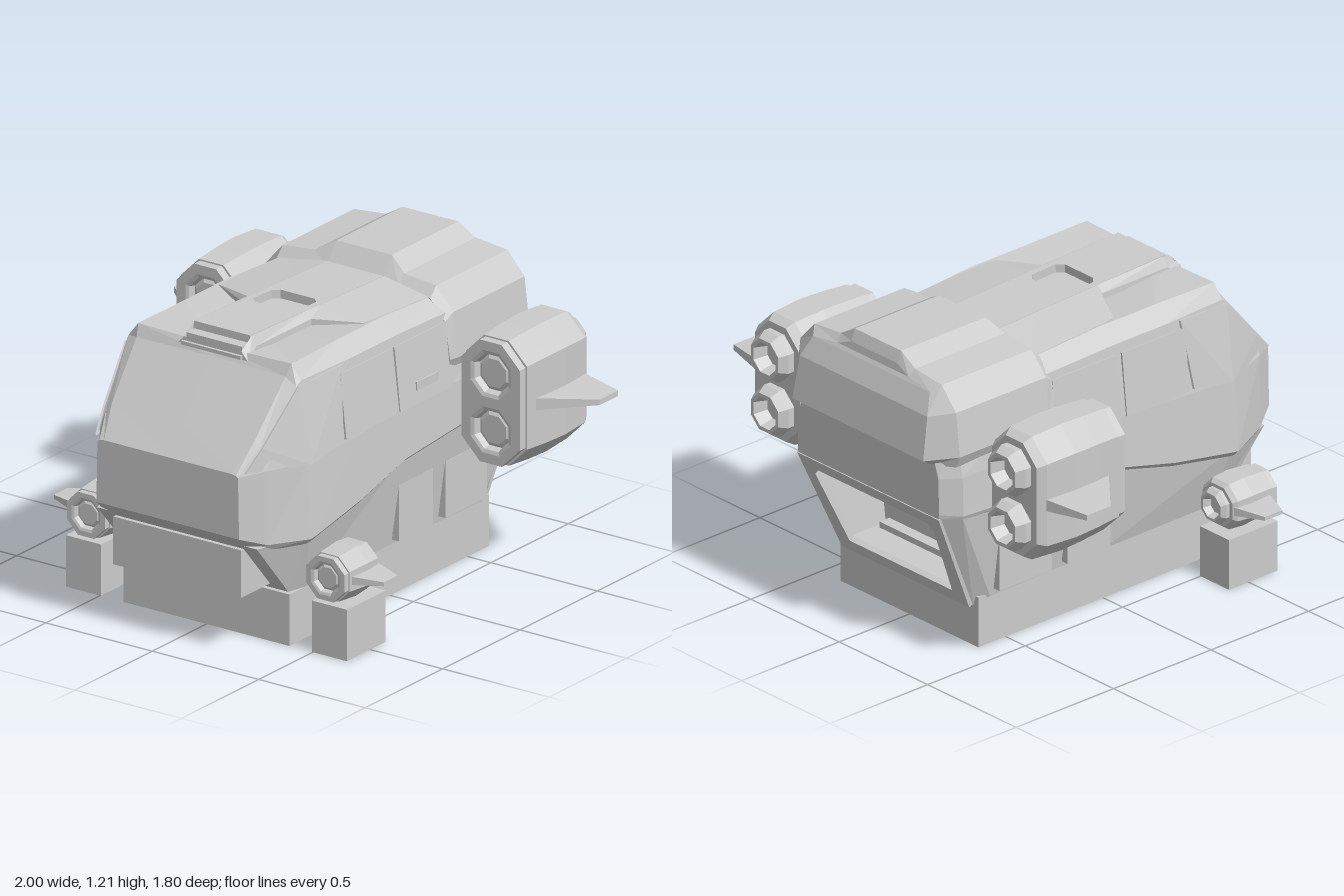
import * as THREE from 'three';

const MAT = new THREE.MeshStandardMaterial({ color: 0xcccccc, flatShading: true });
const MAT2 = new THREE.MeshStandardMaterial({ color: 0xcccccc, flatShading: true, side: THREE.DoubleSide });

function mesh(name, geo, parent, mat = MAT) {
  const m = new THREE.Mesh(geo, mat);
  m.name = name;
  parent.add(m);
  return m;
}

function box(name, parent, x0, x1, y0, y1, z0, z1) {
  const m = mesh(name, new THREE.BoxGeometry(x1 - x0, y1 - y0, z1 - z0), parent);
  m.position.set((x0 + x1) / 2, (y0 + y1) / 2, (z0 + z1) / 2);
  return m;
}

function fromTriangles(tris) {
  const g = new THREE.BufferGeometry();
  g.setAttribute('position', new THREE.Float32BufferAttribute(tris.flat(2), 3));
  g.computeVertexNormals();
  return g;
}

// Loft of half sections (bottom to top on +x), mirrored in x, ordered front to back.
function loft(sections, capBack = true) {
  const tris = [];
  const mirror = ([x, y, z]) => [-x, y, z];
  const quad = (a, b, c, d) => tris.push([a, b, c], [a, c, d]);
  const rings = sections.map((s) => [...s, ...s.map(mirror).reverse()]);
  for (let i = 0; i < rings.length - 1; i++) {
    const A = rings[i], B = rings[i + 1], n = A.length;
    for (let j = 0; j < n; j++) {
      const k = (j + 1) % n;
      quad(A[j], B[j], B[k], A[k]);
    }
  }
  const cap = (s, back) => {
    for (let j = 0; j < s.length - 1; j++) {
      const q = [s[j], s[j + 1], mirror(s[j + 1]), mirror(s[j])];
      quad(...(back ? q.reverse() : q));
    }
  };
  cap(sections[0], false);
  if (capBack) cap(sections.at(-1), true);
  return fromTriangles(tris);
}
const at = (z, pts) => pts.map(([x, y]) => [x, y, z]);

// Thin raised plate: outline of points pushed outward by an offset.
function plate(pts, off) {
  const top = pts.map((p) => p.map((v, i) => v + off[i]));
  const tris = [];
  pts.forEach((p, i) => {
    const k = (i + 1) % pts.length;
    if (i > 0 && i < pts.length - 1) tris.push([top[0], top[i], top[k]]);
    tris.push([p, pts[k], top[k]], [p, top[k], top[i]]);
  });
  return fromTriangles(tris);
}

const octagon = (hx, hy, c) => [[hx - c, -hy], [hx, -hy + c], [hx, hy - c], [hx - c, hy]];
const toVec = (pts) => pts.map(([x, y]) => new THREE.Vector2(x, y));

// Eight-sided ring profile turned around the z axis.
function octLathe(profile) {
  const k = 1 / Math.cos(Math.PI / 8);
  const pts = profile.map(([r, z]) => new THREE.Vector2(r * k, z));
  return new THREE.LatheGeometry(pts, 8, Math.PI / 8).rotateX(Math.PI / 2);
}

// Engine pod: front at local z = 0, running back to -len.
function engine(name, s, o) {
  const g = new THREE.Group();
  g.name = name;
  const { hx, hy, c, len, ys, r, nozzle } = o;
  const sec = (z, d) => at(z, octagon(hx - d, hy - d, c - d * 0.4));
  const lip = r * 0.4;
  mesh('engineBody', loft([sec(-lip, hx * 0.08), sec(-len * 0.35, 0.004), sec(-len * 0.6, 0),
    sec(-len * 0.92, hx * 0.05), sec(-len, hx * 0.18)]), g);
  // front plate with intake holes
  const half = octagon(hx * 0.88, hy - hx * 0.12, c * 0.95);
  const shape = new THREE.Shape(toVec([...half, ...half.map(([x, y]) => [-x, y]).reverse()]));
  for (const y of ys) {
    const h = new THREE.Path();
    h.setFromPoints(Array.from({ length: 8 }, (_, i) => {
      const a = -(i + 0.5) * Math.PI / 4, R = r / Math.cos(Math.PI / 8);
      return new THREE.Vector2(R * Math.cos(a), y + R * Math.sin(a));
    }));
    shape.holes.push(h);
  }
  mesh('intakePlate', new THREE.ExtrudeGeometry(shape, { depth: lip, bevelEnabled: false }), g).position.z = -lip;
  for (const y of ys) {
    const intake = octLathe([[r, -lip], [r, 0], [r * 0.85, -lip * 0.15], [r * 0.76, -lip * 0.85], [r * 0.6, -lip * 0.55], [0, -lip * 0.55]]);
    mesh('intakeRing', intake, g, MAT2).position.y = y;
    const exhaust = octLathe([[r, 0.03], [r * 1.03, -nozzle * 0.45], [r * 0.82, -nozzle], [r * 0.66, -nozzle], [r * 0.5, -nozzle * 0.1], [0, -nozzle * 0.1]]);
    mesh('nozzle', exhaust, g, MAT2).position.set(0, y, -len);
  }
  // tapered side fin
  const f = o.fin;
  const geo = new THREE.BoxGeometry(1, 1, 1), p = geo.attributes.position;
  for (let i = 0; i < p.count; i++) {
    const tip = p.getX(i) * s > 0, [zf, zb] = tip ? f.tip : f.root;
    p.setXYZ(i, s * (tip ? f.x : hx * 0.85), p.getY(i) * (tip ? f.t * 0.45 : f.t), p.getZ(i) > 0 ? zf : zb);
  }
  mesh('fin', geo, g);
  g.position.set(s * o.pos[0], o.pos[1], o.pos[2]);
  return g;
}

export function createModel() {
  const root = new THREE.Group();
  root.name = 'dropship';

  // stands
  box('baseBlock', root, -0.39, 0.39, 0, 0.21, -0.64, 0.65);
  box('chinBox', root, -0.3, 0.3, 0.235, 0.43, 0.5, 0.84);
  box('chinStep', root, -0.09, 0.09, 0.2, 0.225, 0.5, 0.66);

  // lower hull, open at the rear, with chamfered rear corners
  mesh('lowerHull', loft([
    [[0.37, 0.21, 0.63], [0.375, 0.45, 0.84]],
    [[0.39, 0.21, 0.55], [0.45, 0.45, 0.6]],
    at(0, [[0.395, 0.21], [0.45, 0.58]]),
    [[0.395, 0.2, -0.585], [0.45, 0.61, -0.775]],
    [[0.36, 0.165, -0.64], [0.4, 0.61, -0.84]],
  ], false), root);

  // upper hull with a thin turned-under lower edge
  mesh('upperHull', loft([
    [[0.3, 0.43, 0.82], [0.335, 0.5, 0.9], [0.33, 0.75, 0.9], [0.32, 0.757, 0.9], [0.3, 0.76, 0.9], [0, 0.76, 0.9]],
    at(0.8, [[0.375, 0.43], [0.395, 0.46], [0.39, 0.76], [0.36, 0.85], [0.335, 0.872], [0, 0.877]]),
    at(0.62, [[0.445, 0.42], [0.47, 0.445], [0.452, 0.75], [0.4, 1.05], [0.35, 1.08], [0, 1.085]]),
    at(0.595, [[0.45, 0.425], [0.473, 0.45], [0.455, 0.75], [0.405, 1.07], [0.36, 1.128], [0, 1.12]]),
    at(0.3, [[0.45, 0.48], [0.468, 0.5], [0.455, 0.76], [0.42, 1.07], [0.355, 1.13], [0, 1.1]]),
    at(0, [[0.45, 0.56], [0.465, 0.575], [0.455, 0.78], [0.42, 1.07], [0.355, 1.13], [0, 1.1]]),
    at(-0.32, [[0.45, 0.585], [0.465, 0.6], [0.455, 0.78], [0.42, 1.06], [0.35, 1.11], [0, 1.09]]),
    at(-0.775, [[0.447, 0.6], [0.455, 0.62], [0.45, 0.78], [0.4, 1.02], [0.3, 1.06], [0, 1.06]]),
    at(-0.85, [[0.395, 0.61], [0.4, 0.63], [0.395, 0.78], [0.34, 0.95], [0.3, 0.98], [0, 0.98]]),
  ]), root);

  // rear cap with raised spine
  const capProfile = [[0.44, 0.83], [0.462, 0.88], [0.44, 1.06], [0.36, 1.15], [0.21, 1.165], [0.13, 1.212], [0, 1.212]];
  mesh('rearCap', loft([
    at(-0.3, [[0.44, 0.85], [0.455, 0.88], [0.43, 1.03], [0.36, 1.11], [0.21, 1.125], [0.13, 1.13], [0, 1.13]]),
    capProfile.map(([x, y]) => [x, y, x < 0.2 ? -0.37 : -0.34]),
    at(-0.8, capProfile),
    [[0.36, 0.83, -0.85], [0.37, 0.865, -0.905], [0.36, 1.04, -0.875], [0.33, 1.12, -0.835],
      [0.2, 1.135, -0.825], [0.13, 1.165, -0.82], [0, 1.165, -0.82]],
  ]), root);

  // roof hump, with a trough down the middle for the roof slab
  const hump = (z, w, e, top) => at(z, [[w + 0.005, 1.04], [w, e], [0.135, top], [0.13, top - 0.035], [0, top - 0.035]]);
  mesh('roofHump', loft([
    hump(0.61, 0.17, 1.09, 1.13), hump(0.54, 0.155, 1.135, 1.174), hump(0.2, 0.165, 1.14, 1.164),
    hump(0.1, 0.34, 1.132, 1.16), hump(-0.1, 0.35, 1.125, 1.153), hump(-0.36, 0.35, 1.11, 1.143),
  ]), root);
  const slab = new THREE.Shape(toVec([[-0.132, -0.36], [0.132, -0.36], [0.132, 0.55], [-0.132, 0.55]]));
  slab.holes.push(new THREE.Path(toVec([[-0.105, 0.085], [-0.105, 0.205], [-0.08, 0.23], [0.08, 0.23], [0.105, 0.205],
    [0.105, 0.085], [0.08, 0.06], [-0.08, 0.06]])));
  const slabGeo = new THREE.ExtrudeGeometry(slab, { depth: 0.035, bevelEnabled: false }).rotateX(Math.PI / 2).rotateX(-0.036);
  mesh('roofSlabWithHatch', slabGeo, root).position.y = 1.156;
  box('scoopSlat', root, -0.14, 0.14, 1.1, 1.115, 0.58, 0.622);
  box('scoopBrow', root, -0.13, 0.13, 1.12, 1.145, 0.54, 0.6);

  // rear door frame lying on the sloped tail
  const frame = new THREE.Shape(toVec([[-0.36, 0], [0.36, 0], [0.4, 0.485], [-0.4, 0.485]]));
  frame.holes.push(new THREE.Path(toVec([[-0.29, 0.06], [-0.335, 0.4], [-0.31, 0.43], [0.31, 0.43], [0.335, 0.4], [0.29, 0.06]])));
  const frameMesh = mesh('rearDoorFrame', new THREE.ExtrudeGeometry(frame, { depth: 0.025, bevelEnabled: false }), root);
  frameMesh.position.set(0, 0.165, -0.66);
  frameMesh.rotation.x = -0.41;

  // cargo bay walls seen through the door
  const mouth = [[-0.31, 0.225, -0.665], [0.31, 0.225, -0.665], [0.36, 0.583, -0.82], [-0.36, 0.583, -0.82]];
  const end = mouth.map(([x, y]) => [x, y, -0.48]);
  const bay = [[end[0], end[1], end[2]], [end[0], end[2], end[3]]];
  for (let i = 0; i < 4; i++) {
    const k = (i + 1) % 4;
    bay.push([mouth[i], mouth[k], end[k]], [mouth[i], end[k], end[i]]);
  }
  mesh('cargoBay', fromTriangles(bay), root, MAT2);
  box('bayStep', root, -0.29, 0.29, 0.225, 0.25, -0.53, -0.48);
  box('bayPanel', root, 0, 0.16, 0.35, 0.4, -0.495, -0.48);
  box('bayLocker', root, -0.2, -0.12, 0.33, 0.43, -0.52, -0.48);

  for (const s of [1, -1]) {
    // side windows and door panels
    mesh('sideWindow', plate([[0.455, 0.74, 0.6], [0.345, 0.765, 0.88], [0.368, 0.85, 0.8], [0.4, 1.05, 0.615],
      [0.42, 1.065, 0.36], [0.455, 0.775, 0.4]].map(([x, y, z]) => [s * x, y, z]), [s * 0.008, 0, 0.003]), root, MAT2);
    for (const [z0, z1] of [[0.058, 0.38], [-0.3, 0.03]]) {
      const door = box('doorPanel', root, -0.02, 0.02, 0.77, 1.03, z0, z1);
      door.position.x = s * 0.427;
      door.rotation.z = s * 0.11;
    }
    const handle = box('doorHandle', root, -0.01, 0.01, 0.825, 0.86, -0.22, -0.08);
    handle.position.x = s * 0.448;
    // lower side ribs
    for (const [z0, z1] of [[-0.22, 0], [-0.57, -0.3]]) {
      box('lowerRib', root, s > 0 ? 0.36 : -0.432, s > 0 ? 0.432 : -0.36, 0.23, 0.46, z0, z1);
    }
    box('sideStand', root, s > 0 ? 0.495 : -0.66, s > 0 ? 0.66 : -0.495, 0, 0.21, 0.4, 0.65);
    root.add(engine('rearEngine', s, {
      pos: [0.67, 0.765, -0.265], hx: 0.155, hy: 0.267, c: 0.09, len: 0.445, ys: [0.115, -0.115], r: 0.094, nozzle: 0.065,
      fin: { x: 0.33, t: 0.05, root: [-0.08, -0.415], tip: [-0.25, -0.37] },
    }));
    root.add(engine('frontEngine', s, {
      pos: [0.562, 0.315, 0.655], hx: 0.102, hy: 0.1, c: 0.055, len: 0.225, ys: [0], r: 0.067, nozzle: 0.035,
      fin: { x: 0.213, t: 0.035, root: [-0.04, -0.22], tip: [-0.085, -0.175] },
    }));
  }
  return root;
}
